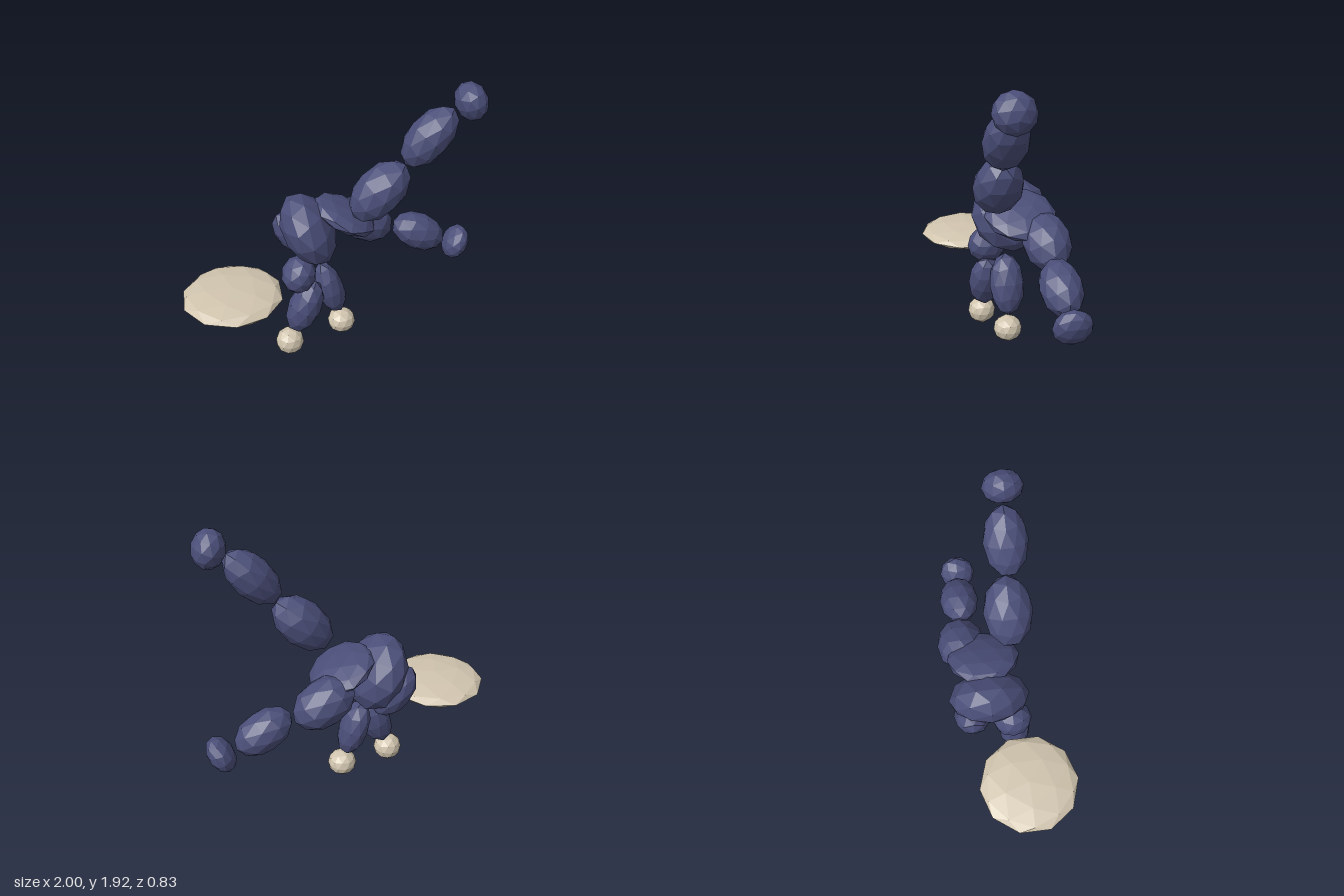
import * as THREE from 'three';

export function createModel() {
  const group = new THREE.Group();
  const navy = new THREE.MeshStandardMaterial({ color: 0x4a4e78, flatShading: true });
  navy.name = 'navy';
  const cream = new THREE.MeshStandardMaterial({ color: 0xd0c4ae, flatShading: true });
  cream.name = 'cream';

  // Faceted ball with a vertex at each pole of the y axis
  const ball = new THREE.IcosahedronGeometry(1, 1);
  ball.rotateZ(Math.atan(2 / (1 + Math.sqrt(5))));
  ball.computeVertexNormals();

  // One ellipsoid: centre, radii, and lean in degrees (positive leans the top toward -x)
  function blob(name, material, centre, radii, lean = 0) {
    const mesh = new THREE.Mesh(ball, material);
    mesh.name = name;
    mesh.position.set(...centre);
    mesh.scale.set(...radii);
    mesh.rotation.z = THREE.MathUtils.degToRad(lean);
    group.add(mesh);
  }

  // Head disc
  blob('headDisc', cream, [-0.685, 0.5625, 0.08], [0.33, 0.064, 0.33]);

  // Body
  blob('torso', navy, [-0.155, 0.885, -0.12], [0.17, 0.26, 0.262], 26);
  blob('pelvis', navy, [0.09, 0.965, -0.13], [0.072, 0.225, 0.235], 64);

  // Raised leg
  blob('raisedThigh', navy, [0.275, 1.23, 0.055], [0.148, 0.238, 0.158], -43);
  blob('raisedShin', navy, [0.568, 1.59, 0.075], [0.128, 0.227, 0.138], -39.5);
  blob('raisedFoot', navy, [0.807, 1.807, 0.085], [0.1, 0.122, 0.126], 20);

  // Lowered leg
  blob('loweredThigh', navy, [0.25, 0.832, -0.263], [0.148, 0.218, 0.158], 61);
  blob('loweredShin', navy, [0.638, 0.698, -0.245], [0.128, 0.202, 0.133], 62);
  blob('loweredFoot', navy, [0.91, 0.585, -0.235], [0.083, 0.126, 0.122], -25);

  // Front arm
  blob('frontUpperArm', navy, [-0.243, 0.632, 0.022], [0.115, 0.128, 0.132], -20);
  blob('frontForearm', navy, [-0.21, 0.375, 0.04], [0.112, 0.21, 0.115], -23);
  blob('frontHand', cream, [-0.32, 0.095, 0.045], [0.097, 0.095, 0.097]);

  // Rear arm
  blob('rearUpperArm', navy, [-0.23, 0.79, -0.24], [0.118, 0.192, 0.123], 39);
  blob('rearForearm', navy, [-0.02, 0.427, -0.07], [0.097, 0.21, 0.118], 18);
  blob('rearHand', cream, [0.06, 0.14, -0.058], [0.097, 0.088, 0.097]);

  return group;
}
